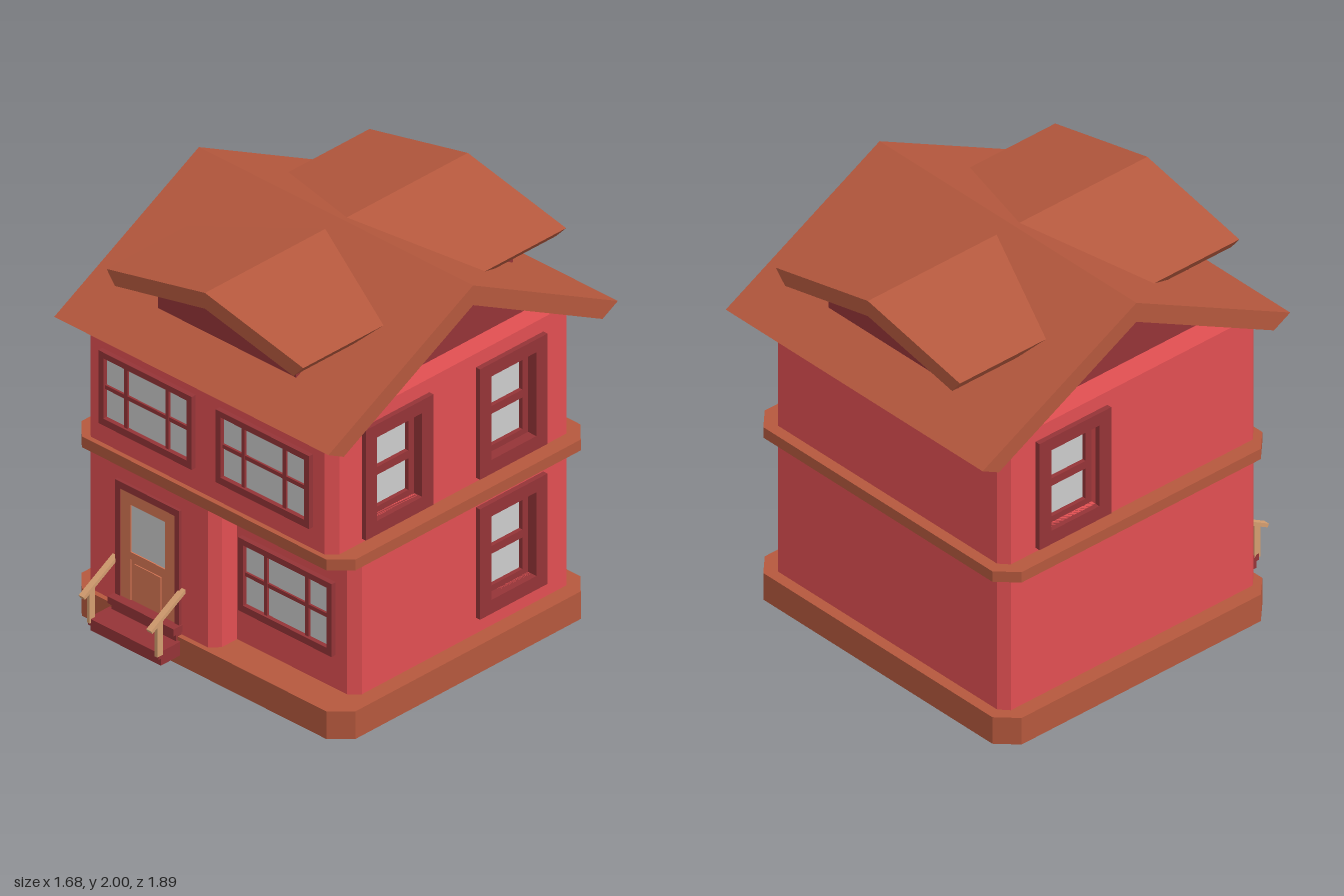
import * as THREE from 'three';

const mat = (color) => new THREE.MeshStandardMaterial({ color, flatShading: true });
const WALL = mat(0xe14f52), TRIM = mat(0x953437), WOOD = mat(0xb5583d);
const DOOR = mat(0xd77654), TAN = mat(0xd39d6f), GLASS = mat(0xcccccc);

function add(parent, name, geometry, material) {
  const m = new THREE.Mesh(geometry, material);
  m.name = name;
  parent.add(m);
  return m;
}

// Box given by its minimum and maximum corners
function box(parent, name, material, [x0, y0, z0], [x1, y1, z1]) {
  const g = new THREE.BoxGeometry(x1 - x0, y1 - y0, z1 - z0);
  g.translate((x0 + x1) / 2, (y0 + y1) / 2, (z0 + z1) / 2);
  return add(parent, name, g, material);
}

const shapeOf = (pts) => new THREE.Shape(pts.map(([x, y]) => new THREE.Vector2(x, y)));
const rect = (x0, y0, x1, y1) => [[x0, y0], [x1, y0], [x1, y1], [x0, y1]];

// Flat outline with holes, extruded from z0 to z1
function slab(outline, holes, z0, z1) {
  const s = shapeOf(outline);
  holes.forEach((h) => s.holes.push(shapeOf(h)));
  return new THREE.ExtrudeGeometry(s, { depth: z1 - z0, bevelEnabled: false }).translate(0, 0, z0);
}

// Footprint of [x, z] points raised from y0 to y1
const prism = (pts, y0, y1) =>
  slab(pts.map(([x, z]) => [x, -z]), [], y0, y1).rotateX(-Math.PI / 2);

// Profile of [z, y] points extruded along x
const alongX = (pts, x0, x1) =>
  slab(pts.map(([z, y]) => [-z, y]), [], x0, x1).rotateY(Math.PI / 2);

// Rectangular footprint with cut corners
const octagon = (x0, x1, z0, z1, c) => [
  [x0 + c, z1], [x1 - c, z1], [x1, z1 - c], [x1, z0 + c],
  [x1 - c, z0], [x0 + c, z0], [x0, z0 + c], [x0, z1 - c]];

// Wide front window with two upright bars and one crossbar
function frontWindow(parent, name, x, y, z) {
  const g = new THREE.Group();
  g.name = name;
  g.position.set(x, y, z);
  const w = 0.565, h = 0.37;
  add(g, 'windowFrame', slab(rect(0, 0, w, h), [rect(0.03, 0.035, w - 0.03, h - 0.03)], 0, 0.025), TRIM);
  box(g, 'windowGlass', GLASS, [0.02, 0.02, -0.01], [w - 0.02, h - 0.02, 0.003]);
  for (const bx of [0.155, 0.405]) box(g, 'windowBar', TRIM, [bx - 0.01, 0.03, 0], [bx + 0.01, h - 0.03, 0.014]);
  box(g, 'windowCrossbar', TRIM, [0.03, 0.18, 0], [w - 0.03, 0.2, 0.013]);
  parent.add(g);
}

// Side wall panel with deep sash windows; local z points outward, windows are [x, y] corners
function sideWall(parent, name, x, side, [a0, a1], [y0, y1], windows) {
  const g = new THREE.Group();
  g.name = name;
  g.position.x = x;
  g.rotation.y = side * Math.PI / 2;
  const holes = windows.map(([a, y]) => rect(a + 0.07, y + 0.07, a + 0.35, y + 0.495));
  add(g, 'wallPanel', slab(rect(a0, y0, a1, y1), holes, -0.06, 0), WALL);
  windows.forEach(([a, y], i) => {
    add(g, 'sashSurround', slab(rect(a, y, a + 0.42, y + 0.56), [holes[i]], -0.06, 0.025), TRIM);
    add(g, 'sashFrame', slab(holes[i], [
      rect(a + 0.105, y + 0.1, a + 0.315, y + 0.26),
      rect(a + 0.105, y + 0.3, a + 0.315, y + 0.45)], -0.06, -0.025), TRIM);
    box(g, 'sashGlass', GLASS, [a + 0.09, y + 0.08, -0.07], [a + 0.33, y + 0.47, -0.045]);
  });
  parent.add(g);
}

export function createModel() {
  const house = new THREE.Group();
  house.name = 'house';

  // Base and belt course
  const rim = octagon(-0.84, 0.82, -0.82, 0.76, 0.09);
  add(house, 'base', prism(rim, 0, 0.14), WOOD);
  add(house, 'beltCourse', prism(rim, 0.855, 0.91), WOOD);

  // Lower floor: the right half of the front is set back
  add(house, 'lowerFloor', prism([
    [-0.72, 0.735], [-0.01, 0.735], [0.03, 0.69], [0.03, 0.595], [0.695, 0.595], [0.74, 0.55],
    [0.68, 0.55], [0.68, -0.725], [0.74, -0.725], [0.695, -0.765], [-0.72, -0.765],
    [-0.765, -0.725], [-0.765, 0.69]], 0.14, 0.855), WALL);
  sideWall(house, 'lowerLeftWall', 0.74, 1, [-0.55, 0.725], [0.14, 0.855], [[0.16, 0.22]]);

  // Upper floor
  add(house, 'upperFloor', prism([
    [-0.72, 0.735], [0.695, 0.735], [0.74, 0.69], [0.68, 0.69], [0.68, -0.725], [0.74, -0.725],
    [0.695, -0.765], [-0.72, -0.765], [-0.765, -0.725], [-0.705, -0.725], [-0.705, 0.69],
    [-0.765, 0.69]], 0.91, 1.56), WALL);
  sideWall(house, 'upperLeftWall', 0.74, 1, [-0.69, 0.725], [0.91, 1.56], [[-0.55, 0.93], [0.16, 0.93]]);
  sideWall(house, 'upperRightWall', -0.765, -1, [-0.725, 0.69], [0.91, 1.56], [[-0.58, 0.93]]);

  // Front windows
  frontWindow(house, 'upperWindowRight', -0.65, 1.02, 0.735);
  frontWindow(house, 'upperWindowLeft', 0.06, 1.02, 0.735);
  frontWindow(house, 'lowerWindow', 0.06, 0.31, 0.595);

  // Main roof and its recessed gable
  add(house, 'mainRoof', alongX([[-0.04, 2], [-0.94, 1.53], [-0.845, 1.48], [-0.04, 1.9],
    [0.765, 1.48], [0.86, 1.53]], -0.82, 0.84), WOOD);
  add(house, 'gable', alongX([[-0.04, 1.93], [-0.74, 1.55], [0.66, 1.55]], -0.65, 0.64), TRIM);

  // Dormers, running through from front to back
  add(house, 'dormerRoof', slab([[0.01, 1.965], [-0.585, 1.835], [-0.535, 1.77], [0.01, 1.885],
    [0.545, 1.77], [0.605, 1.835]], [], -0.86, 0.775), WOOD);
  add(house, 'dormerBody', slab([[-0.41, 1.65], [0.425, 1.65], [0.425, 1.81], [0.01, 1.9],
    [-0.41, 1.81]], [], -0.715, 0.635), TRIM);

  // Front door
  const door = new THREE.Group();
  door.name = 'frontDoor';
  door.position.z = 0.735;
  add(door, 'doorFrame', slab(rect(-0.56, 0.14, -0.17, 0.77), [rect(-0.53, 0.15, -0.2, 0.735)], 0, 0.015), TRIM);
  add(door, 'doorLeaf', slab(rect(-0.53, 0.15, -0.2, 0.735), [rect(-0.47, 0.435, -0.26, 0.675),
    rect(-0.47, 0.17, -0.26, 0.4)], 0, 0.01), DOOR);
  box(door, 'doorGlass', GLASS, [-0.48, 0.42, -0.01], [-0.25, 0.68, 0.004]);
  box(door, 'doorPanel', DOOR, [-0.48, 0.16, -0.01], [-0.25, 0.41, 0.003]);
  box(door, 'doorInset', DOOR, [-0.45, 0.2, 0], [-0.29, 0.38, 0.008]);
  house.add(door);

  // Steps with overhanging treads
  box(house, 'lowerRiser', TRIM, [-0.58, 0.05, 0.74], [-0.155, 0.085, 0.88]);
  box(house, 'lowerTread', TRIM, [-0.58, 0.085, 0.74], [-0.155, 0.12, 0.895]);
  box(house, 'upperRiser', TRIM, [-0.56, 0.12, 0.73], [-0.17, 0.155, 0.77]);
  box(house, 'upperTread', TRIM, [-0.565, 0.155, 0.73], [-0.165, 0.19, 0.79]);

  // Handrails
  for (const x of [-0.572, -0.163]) {
    box(house, 'railPost', TAN, [x - 0.008, 0.1, 0.868], [x + 0.008, 0.28, 0.902]);
    const rail = add(house, 'handrail', new THREE.BoxGeometry(0.03, 0.018, 0.255), TAN);
    rail.position.set(x, 0.31, 0.832);
    rail.rotation.x = Math.atan2(0.125, 0.22);
  }
  return house;
}
